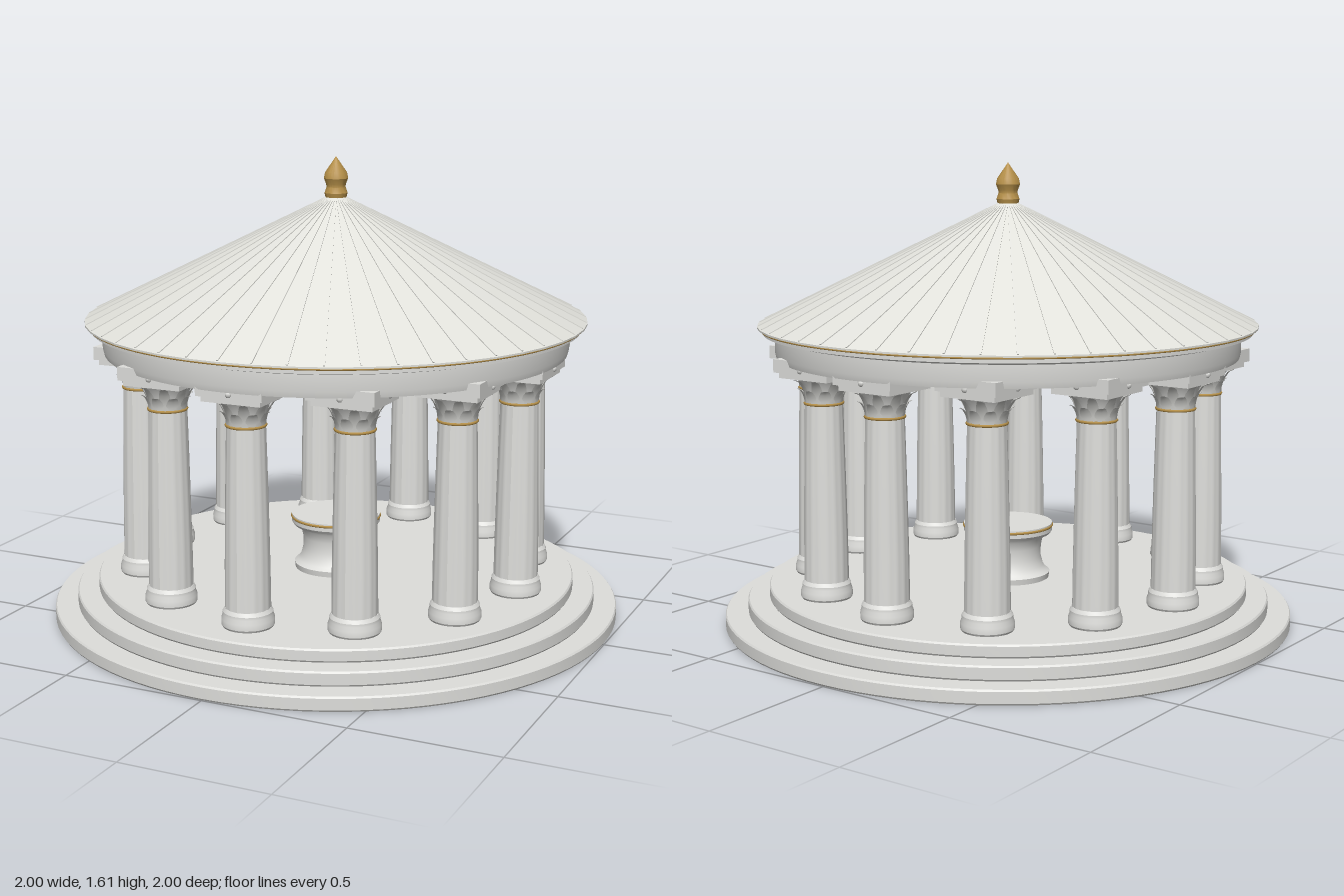
import * as THREE from 'three';
import { toCreasedNormals } from 'three/addons/utils/BufferGeometryUtils.js';

const mat = (name, color, side = THREE.FrontSide) => {
  const m = new THREE.MeshStandardMaterial({ color, side });
  m.name = name;
  return m;
};

// Turned solid from [radius, y] pairs, with edges sharper than the crease kept hard
const turned = (points, segments = 64, crease = 0.5) =>
  toCreasedNormals(
    new THREE.LatheGeometry(points.map(([r, y]) => new THREE.Vector2(r, y)), segments), crease);

// Shaft with a slight swelling and shallow flutes
function shaftGeometry() {
  const flutes = 16, y0 = 0.2, y1 = 0.82;
  const g = new THREE.CylinderGeometry(1, 1, y1 - y0, flutes * 4, 4, true);
  const p = g.attributes.position;
  for (let i = 0; i < p.count; i++) {
    const t = THREE.MathUtils.clamp(p.getY(i) / (y1 - y0) + 0.5, 0, 1);
    const a = Math.atan2(p.getZ(i), p.getX(i));
    const r = (0.076 - 0.012 * t ** 1.4) * (1 - 0.025 * Math.abs(Math.sin(a * flutes / 2)));
    p.setXYZ(i, Math.cos(a) * r, y0 + t * (y1 - y0), Math.sin(a) * r);
  }
  g.computeVertexNormals();
  return g;
}

// Pointed leaf that climbs the bell and curls outward at the tip
function leafGeometry(height, width, curl) {
  const g = new THREE.PlaneGeometry(1, 1, 2, 5);
  const p = g.attributes.position;
  for (let i = 0; i < p.count; i++) {
    const t = THREE.MathUtils.clamp(p.getY(i) + 0.5, 0, 1), u = p.getX(i);
    const w = width * (1 - 0.75 * t ** 3);
    const droop = t > 0.8 ? (t - 0.8) * 0.6 * height : 0;
    const out = 0.065 + curl * t ** 2.2 - Math.abs(u) * 0.012;
    p.setXYZ(i, u * w, 0.818 + height * t - droop, out);
  }
  g.computeVertexNormals();
  return g;
}

export function createModel() {
  const model = new THREE.Group();
  model.name = 'roundTemple';
  const marble = mat('marble', 0xdededb);
  const roofStone = mat('roofStone', 0xe2e2dc);
  const leafStone = mat('leafStone', 0xd2d2ce, THREE.DoubleSide);
  const gold = mat('gold', 0xb8924a);

  const add = (parent, name, geometry, material, x = 0, y = 0, z = 0) => {
    const mesh = new THREE.Mesh(geometry, material);
    mesh.name = name;
    mesh.position.set(x, y, z);
    parent.add(mesh);
    return mesh;
  };
  const ring = (r, tube, segments = 64) =>
    new THREE.TorusGeometry(r, tube, 6, segments).rotateX(Math.PI / 2);

  // Three round steps with softened edges
  [[1, 0, 0.05], [0.92, 0.05, 0.1], [0.845, 0.1, 0.145]].forEach(([r, a, b], i) =>
    add(model, `step${i + 1}`, turned([[0, a], [r - 0.004, a], [r, a + 0.006],
      [r, b - 0.006], [r - 0.004, b], [0, b]], 96), marble));

  // Parts shared by every column
  const baseGeo = turned([[0.084, 0.145], [0.088, 0.152], [0.088, 0.172], [0.083, 0.186],
    [0.083, 0.196], [0.076, 0.208], [0.07, 0.208]], 32);
  const shaftGeo = shaftGeometry();
  const neckGeo = ring(0.064, 0.005, 24);
  const bellGeo = turned([[0.062, 0.815], [0.066, 0.85], [0.077, 0.885], [0.095, 0.91], [0, 0.91]], 24);
  const lowLeafGeo = leafGeometry(0.055, 0.046, 0.024);
  const highLeafGeo = leafGeometry(0.095, 0.042, 0.046);
  const abacusLowGeo = new THREE.BoxGeometry(0.21, 0.02, 0.21);
  const abacusGeo = new THREE.BoxGeometry(0.236, 0.045, 0.236);
  const rosetteGeo = new THREE.SphereGeometry(0.012, 8, 5);

  // Twelve columns, all facing the same way
  for (let i = 0; i < 12; i++) {
    const a = i * Math.PI / 6;
    const column = new THREE.Group();
    column.name = `column${i + 1}`;
    column.position.set(Math.sin(a) * 0.68, 0, Math.cos(a) * 0.68);
    add(column, 'columnBase', baseGeo, marble);
    add(column, 'shaft', shaftGeo, marble);
    add(column, 'neckRing', neckGeo, gold, 0, 0.817, 0);
    add(column, 'capitalBell', bellGeo, marble);
    for (let k = 0; k < 8; k++) {
      add(column, 'lowerLeaf', lowLeafGeo, leafStone).rotation.y = k * Math.PI / 4;
      add(column, 'upperLeaf', highLeafGeo, leafStone).rotation.y = (k + 0.5) * Math.PI / 4;
    }
    add(column, 'abacusLower', abacusLowGeo, marble, 0, 0.914, 0);
    add(column, 'abacusUpper', abacusGeo, marble, 0, 0.9455, 0);
    for (let k = 0; k < 4; k++) {
      const b = k * Math.PI / 2;
      add(column, 'rosette', rosetteGeo, marble, Math.sin(b) * 0.115, 0.938, Math.cos(b) * 0.115);
    }
    model.add(column);
  }

  // Ring beam and cornice
  add(model, 'entablature', turned([[0.55, 1.05], [0.55, 0.945], [0.805, 0.945], [0.81, 0.965],
    [0.81, 1.02], [0.82, 1.03], [0.85, 1.03], [0.85, 1.05]], 96), marble);
  add(model, 'eavesTrim', ring(0.86, 0.004, 96), gold, 0, 1.047, 0);

  // Faceted inner dome, seen from below
  const dome = [];
  for (let i = 0; i <= 10; i++) {
    const a = i / 10 * Math.PI / 2;
    dome.push([0.55 * Math.sin(a), 1.03 + 0.33 * Math.cos(a)]);
  }
  add(model, 'innerDome', turned(dome, 24, 0.2), marble);

  // Faceted conical roof with thin ribs on its seams
  add(model, 'roof', turned([[0.84, 1.05], [0.87, 1.05], [0.87, 1.056], [0, 1.485]], 48, 0.02), roofStone);
  const slope = Math.atan2(0.429, 0.87);
  const ribGeo = new THREE.BoxGeometry(0.006, 0.006, 0.96);
  ribGeo.rotateX(slope).translate(0, 1.2705, 0.435);
  for (let i = 0; i < 48; i++)
    add(model, 'roofRib', ribGeo, roofStone).rotation.y = i * Math.PI / 24;

  // Gilded finial
  add(model, 'finial', turned([[0, 1.465], [0.036, 1.468], [0.04, 1.485], [0.033, 1.505],
    [0.034, 1.515], [0.042, 1.535], [0.038, 1.555], [0, 1.61]], 24), gold);

  // Round altar in the middle
  const altar = new THREE.Group();
  altar.name = 'altar';
  add(altar, 'pedestal', turned([[0.145, 0.145], [0.148, 0.165], [0.135, 0.175], [0.125, 0.19],
    [0.117, 0.22], [0.117, 0.26], [0.124, 0.29], [0.135, 0.305]], 48), marble);
  add(altar, 'altarTop', turned([[0, 0.305], [0.15, 0.305], [0.157, 0.315], [0.157, 0.342], [0, 0.342]], 48), marble);
  add(altar, 'altarTrim', ring(0.156, 0.005, 48), gold, 0, 0.333, 0);
  model.add(altar);

  return model;
}
